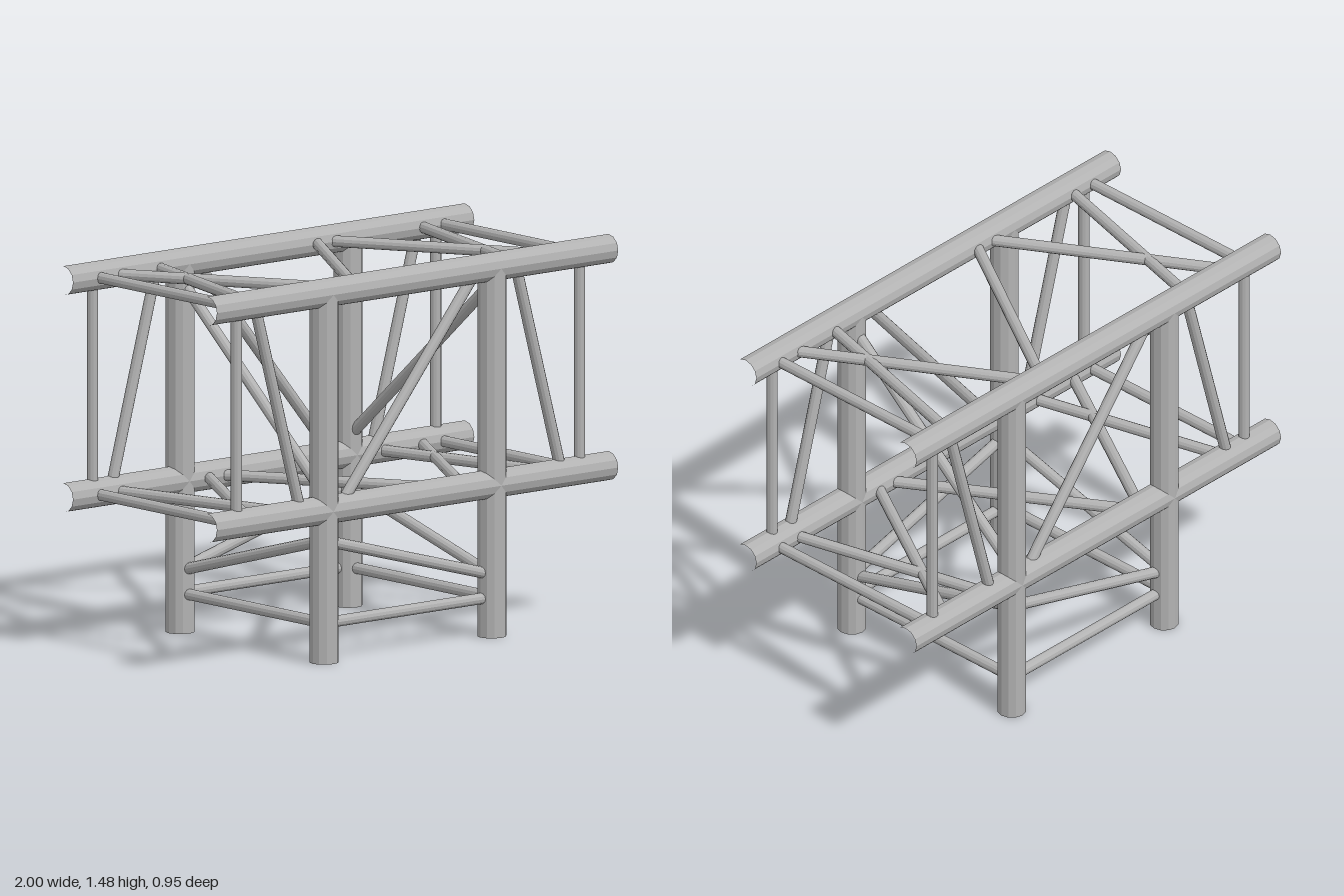
import * as THREE from 'three';

export function createModel() {
  const model = new THREE.Group();
  model.name = 'trussFrame';
  const metal = new THREE.MeshStandardMaterial({ color: 0xb2b2b2, flatShading: true });
  metal.name = 'brushed grey metal';

  const C = 0.418;             // tube centre offset from the middle
  const LOW = 0.585, TOP = 1.42; // heights of the lower and upper chords
  const MAIN = 0.056, THIN = 0.022;

  // Hollow tube running between two points
  function tube(name, a, b, radius) {
    const start = new THREE.Vector3(...a), end = new THREE.Vector3(...b);
    const dir = end.clone().sub(start);
    const geo = new THREE.CylinderGeometry(radius, radius, dir.length(), 12, 1, true);
    const mesh = new THREE.Mesh(geo, metal);
    mesh.name = name;
    mesh.position.copy(start).add(end).multiplyScalar(0.5);
    mesh.quaternion.setFromUnitVectors(new THREE.Vector3(0, 1, 0), dir.normalize());
    model.add(mesh);
  }

  // Long chords
  for (const y of [LOW, TOP])
    for (const z of [-C, C]) tube('chord', [-1, y, z], [1, y, z], MAIN);

  // Legs
  for (const x of [-C, C])
    for (const z of [-C, C]) tube('leg', [x, 0, z], [x, TOP, z], MAIN);

  // Rectangular end frames
  for (const x of [-0.855, 0.855]) {
    for (const z of [-C, C]) tube('endPost', [x, LOW, z], [x, TOP, z], THIN);
    for (const y of [LOW, TOP]) tube('endCrossbar', [x, y, -C], [x, y, C], THIN);
  }

  // Front and back diagonals, mirrored top to bottom between the two faces
  for (const s of [1, -1]) {
    const z = s * C;
    const yA = s > 0 ? TOP : LOW, yB = s > 0 ? LOW : TOP;
    tube('faceBrace', [-0.765, yA, z], [-0.535, yB, z], THIN);
    tube('faceBrace', [0.345, yA, z], [-0.345, yB, z], THIN);
    tube('faceBrace', [0.535, yA, z], [0.765, yB, z], THIN);
  }

  // Top and bottom diagonals, mirrored front to back between the two levels
  const deckBraces = [[-0.545, -0.765], [-0.78, -0.285], [0.255, -0.255], [0.285, 0.78], [0.765, 0.545]];
  for (const [y, s] of [[TOP, 1], [LOW, -1]])
    for (const [back, front] of deckBraces)
      tube('deckBrace', [back, y, -C * s], [front, y, C * s], THIN);

  // Diagonals and rails between the legs
  for (const s of [1, -1]) {
    tube('innerBrace', [s * C, 1.36, s * C], [s * C, 0.645, -s * C], THIN);
    tube('legBrace', [-s * C, 0.468, s * C], [s * C, 0.236, s * C], THIN);
    tube('legBrace', [s * C, 0.236, s * C], [s * C, 0.468, -s * C], THIN);
    tube('legRail', [-C, 0.15, s * C], [C, 0.15, s * C], THIN);
    tube('legRail', [s * C, 0.15, -C], [s * C, 0.15, C], THIN);
  }

  return model;
}
